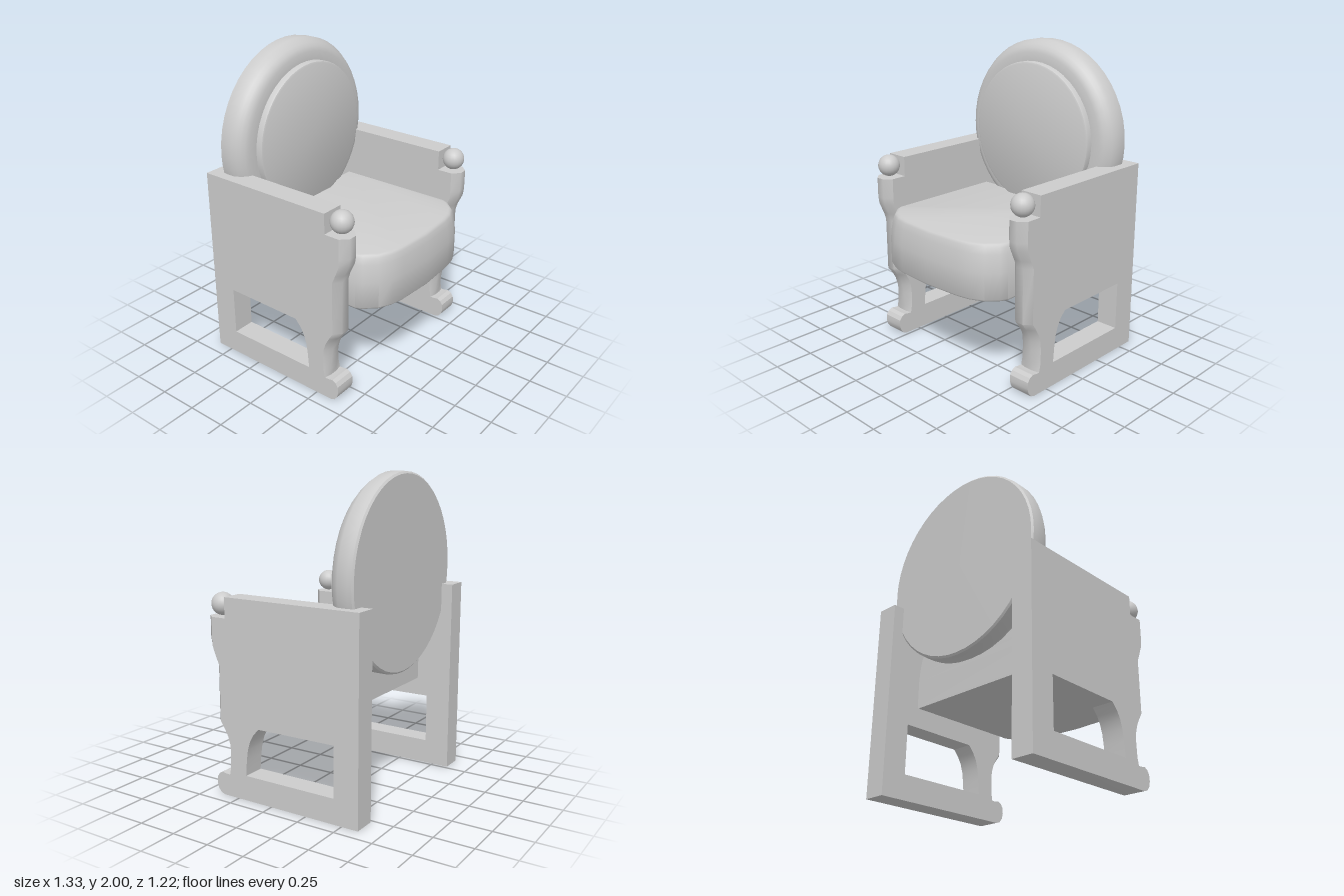
import * as THREE from 'three';
import { toCreasedNormals } from 'three/addons/utils/BufferGeometryUtils.js';

const material = new THREE.MeshStandardMaterial({ color: 0xcccccc });

function part(name, geometry) {
  const mesh = new THREE.Mesh(geometry, material);
  mesh.name = name;
  return mesh;
}

// Joins convex rings, stacked upwards and counter-clockwise from above, and caps both ends
function loft(rings, crease) {
  const positions = [];
  const tri = (...corners) => corners.forEach((p) => positions.push(...p));
  const n = rings[0].length;
  for (let r = 0; r < rings.length - 1; r++) {
    for (let i = 0; i < n; i++) {
      const j = (i + 1) % n;
      const a = rings[r][i], b = rings[r][j], c = rings[r + 1][j], d = rings[r + 1][i];
      tri(a, b, c);
      tri(a, c, d);
    }
  }
  const bottom = rings[0], top = rings[rings.length - 1];
  for (let i = 1; i < n - 1; i++) {
    tri(bottom[0], bottom[i + 1], bottom[i]);
    tri(top[0], top[i], top[i + 1]);
  }
  const geometry = new THREE.BufferGeometry();
  geometry.setAttribute('position', new THREE.Float32BufferAttribute(positions, 3));
  return toCreasedNormals(geometry, crease);
}

// Round part turned about the z axis; points are [radius, z] from back to front
function turned(points, segments) {
  const lathe = new THREE.LatheGeometry(points.map(([r, z]) => new THREE.Vector2(r, z)), segments);
  return toCreasedNormals(lathe.rotateX(Math.PI / 2), 0.6);
}

const toPoints = (list) => list.map(([z, y]) => new THREE.Vector2(z, y));
const HALF = 0.0725; // half thickness of a side panel

// Front edge of the leg and post: [y, z where the rounding starts, foremost z]
const LEG = [
  [0.14, 0.318, 0.328], [0.19, 0.308, 0.33], [0.28, 0.305, 0.338], [0.34, 0.31, 0.347],
  [0.39, 0.326, 0.362], [0.43, 0.348, 0.385], [0.48, 0.38, 0.422],
  [0.83, 0.38, 0.422], [0.88, 0.402, 0.437], [0.95, 0.43, 0.47], [1.0, 0.432, 0.478], [1.13, 0.432, 0.478],
];

function createSide() {
  const side = new THREE.Group();

  // Panel outline with the toe, leg, post step and the opening above the runner
  const outline = new THREE.Shape(toPoints([
    [-0.61, 0], [0.36, 0], [0.39, 0.01], [0.41, 0.035], [0.42, 0.07], [0.417, 0.11],
    [0.4, 0.135], [0.375, 0.147], [0.345, 0.142],
    ...LEG.map(([y, z]) => [z, y]),
    [0.33, 1.13], [0.33, 1.26], [-0.61, 1.26],
  ]));
  outline.holes.push(new THREE.Path(toPoints([
    [0.19, 0.16], [-0.445, 0.16], [-0.445, 0.48], [0.09, 0.475],
    [0.13, 0.43], [0.155, 0.385], [0.172, 0.33], [0.182, 0.26],
  ])));
  const panel = new THREE.ExtrudeGeometry(outline, { depth: 2 * HALF, bevelEnabled: false });
  panel.rotateY(-Math.PI / 2).translate(HALF, 0, 0);
  side.add(part('sidePanel', toCreasedNormals(panel, 0.5)));

  // Rounded front of the leg and post
  const rings = LEG.map(([y, back, front]) => {
    const inner = HALF - 0.045;
    return [[HALF, y, back], [-HALF, y, back], [-inner, y, front], [inner, y, front]];
  });
  side.add(part('legFront', loft(rings, 0.9)));

  // Ball on top of the post
  const ball = part('armBall', new THREE.SphereGeometry(0.071, 20, 14));
  ball.position.set(0, 1.205, 0.4);
  side.add(ball);
  return side;
}

function createSeat() {
  const outline = [
    [0.51, -0.38], [-0.51, -0.38], [-0.51, 0.43], [-0.49, 0.47], [-0.425, 0.54], [-0.34, 0.58], [-0.25, 0.597],
    [0, 0.612], [0.25, 0.597], [0.34, 0.58], [0.425, 0.54], [0.49, 0.47], [0.51, 0.43],
  ];
  // Heights with how far the outline draws in
  const levels = [
    [0.6, 0.008], [0.612, 0], [0.78, 0], [0.84, 0.005], [0.89, 0.013], [0.93, 0.022], [0.945, 0.03], [0.95, 0.042],
  ];
  const rings = levels.map(([y, inset]) => outline.map(([x, z]) => [
    x * (1 - inset / 0.51), y, z < 0 ? z : z * (1 - inset / 0.61),
  ]));
  return part('seat', loft(rings, 0.75));
}

function createBackrest() {
  const back = new THREE.Group();
  back.position.y = 1.385;
  back.add(part('backrest', turned([
    [0, -0.535], [0.6, -0.535], [0.612, -0.525], [0.615, -0.5], [0.615, -0.435],
    [0.6, -0.41], [0.585, -0.39], [0.565, -0.37], [0.535, -0.358], [0.48, -0.355], [0, -0.355],
  ], 48)));
  back.add(part('backCushion', turned([
    [0, -0.37], [0.48, -0.37], [0.48, -0.325], [0.476, -0.315], [0.465, -0.31], [0, -0.31],
  ], 48)));
  return back;
}

export function createModel() {
  const chair = new THREE.Group();
  chair.name = 'armchair';
  for (const [name, sign] of [['leftSide', 1], ['rightSide', -1]]) {
    const side = createSide();
    side.name = name;
    side.position.x = sign * 0.5925;
    chair.add(side);
  }
  const back = createBackrest();
  back.name = 'roundBack';
  chair.add(createSeat(), back);
  return chair;
}
